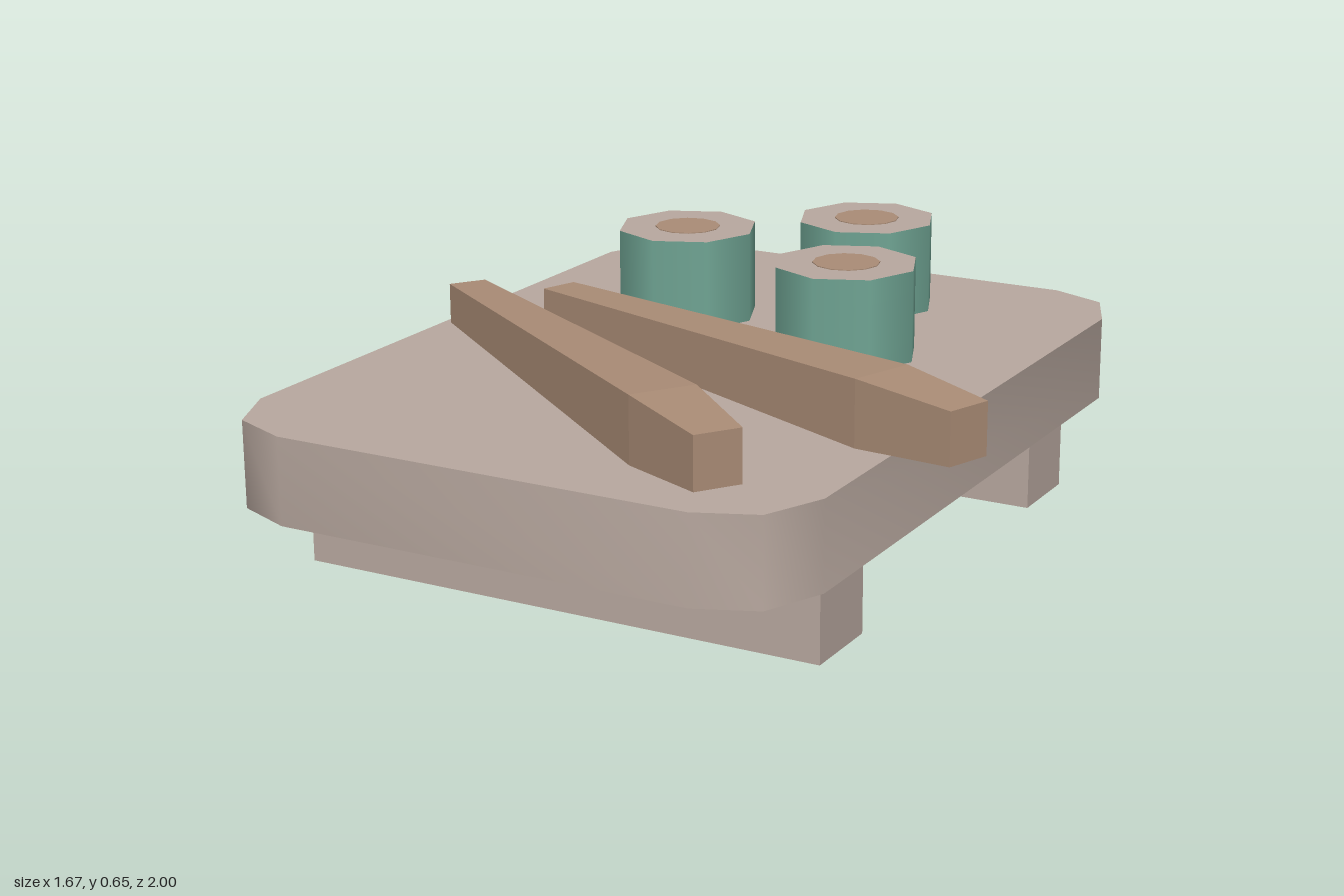
import * as THREE from 'three';
import { toCreasedNormals } from 'three/addons/utils/BufferGeometryUtils.js';

const material = (name, color) => {
  const m = new THREE.MeshStandardMaterial({ color });
  m.name = name;
  return m;
};

export function createModel() {
  const model = new THREE.Group();
  model.name = 'sushiBoard';
  const pale = material('pale wood and rice', 0xb8a89f);
  const brown = material('brown wood and filling', 0xaa8c76);
  const green = material('seaweed green', 0x70a594);

  const add = (name, geometry, mat, x, y, z) => {
    const mesh = new THREE.Mesh(geometry, mat);
    mesh.name = name;
    mesh.position.set(x, y, z);
    model.add(mesh);
    return mesh;
  };

  // Board with corners cut in three facets
  const corner = [[0.735, 0.79], [0.67, 0.94], [0.525, 1]];
  const back = [...corner].reverse();
  const outline = [
    ...corner,
    ...back.map(([x, y]) => [-x, y]),
    ...corner.map(([x, y]) => [-x, -y]),
    ...back.map(([x, y]) => [x, -y]),
  ].map(([x, y]) => new THREE.Vector2(x, y));
  const slab = new THREE.ExtrudeGeometry(new THREE.Shape(outline), { depth: 0.212, bevelEnabled: false });
  slab.rotateX(-Math.PI / 2);
  add('board', toCreasedNormals(slab, 1), pale, -0.105, 0.213, 0);

  // Two bars under the board
  for (const z of [0.583, -0.577]) {
    add('foot', new THREE.BoxGeometry(1.355, 0.213, 0.21), pale, -0.107, 0.1065, z);
  }

  // Three rolls: green wrap, pale ends, brown filling
  for (const [x, z] of [[0.025, -0.647], [-0.338, -0.345], [0.185, -0.204]]) {
    add('roll', new THREE.CylinderGeometry(0.18, 0.18, 0.228, 8), [green, pale, pale], x, 0.539, z);
    add('filling', new THREE.CylinderGeometry(0.083, 0.083, 0.004, 12), brown, x, 0.653, z);
  }

  // Chopsticks: square bars, thickest shortly before the blunt end
  const sections = [[0, 0.095, 0.1], [1.143, 0.163, 0.16], [1.409, 0.115, 0.125]];
  const stick = new THREE.BoxGeometry(2, 1, 1, 2, 1, 1);
  const p = stick.attributes.position;
  for (let i = 0; i < p.count; i++) {
    const [length, width, height] = sections[Math.round(p.getX(i)) + 1];
    p.setXYZ(i, length, p.getY(i) * height, p.getZ(i) * width);
  }
  const stickGeometry = toCreasedNormals(stick, 0.05);
  for (const [x, z, angle] of [[-0.7325, 0.0825, -0.604], [-0.5125, 0.0025, -0.342]]) {
    add('chopstick', stickGeometry, brown, x, 0.505, z).rotation.y = angle;
  }

  return model;
}
